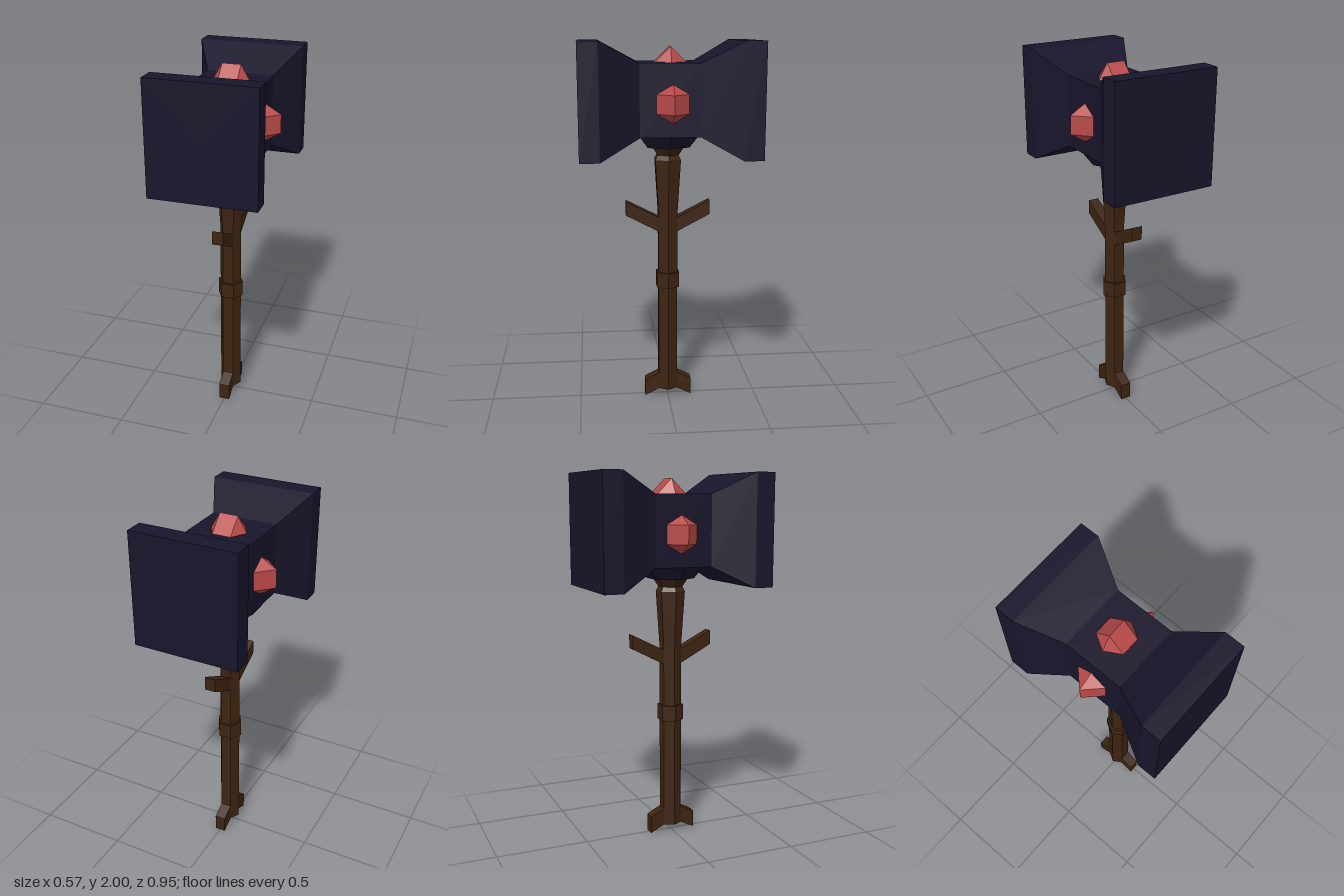
import * as THREE from 'three';

const paint = (color) => new THREE.MeshStandardMaterial({ color, flatShading: true });

// Faceted solid turned around y from [radius, height] pairs, bottom to top
function faceted(profile, sides, start = 0) {
  const points = profile.map(([r, y]) => new THREE.Vector2(r, y));
  return new THREE.LatheGeometry(points, sides, start);
}

// Flat-sided plate cut from a (z, y) outline, with its thickness along x
function plate(outline, thickness) {
  const shape = new THREE.Shape(outline.map(([z, y]) => new THREE.Vector2(z, y)));
  return new THREE.ExtrudeGeometry(shape, { depth: thickness, bevelEnabled: false })
    .translate(0, 0, -thickness / 2)
    .rotateY(-Math.PI / 2);
}

export function createModel() {
  const group = new THREE.Group();
  const iron = paint(0x17152b);
  const wood = paint(0x3d2411);
  const ruby = paint(0xb84a48);

  function add(name, geometry, material) {
    const flat = geometry.index ? geometry.toNonIndexed() : geometry;
    flat.computeVertexNormals();
    const mesh = new THREE.Mesh(flat, material);
    mesh.name = name;
    group.add(mesh);
    return mesh;
  }

  // Hammer head: square section along z, waisted in the middle
  const d = Math.SQRT2;
  const headProfile = [
    [0, -0.475], [d, -0.475], [d, -0.37], [0.63 * d, -0.16],
    [0.63 * d, 0.16], [d, 0.37], [d, 0.475], [0, 0.475],
  ];
  const head = faceted(headProfile, 4, Math.PI / 4)
    .rotateX(Math.PI / 2)
    .scale(0.285, 0.302, 1)
    .translate(0, 1.698, 0);
  add('hammerHead', head, iron);

  // Six-sided collar beneath the head
  const hex = Math.PI / 6;
  add('collar', faceted([[0, 1.44], [0.13, 1.44], [0.185, 1.51], [0, 1.51]], 6, hex), iron);

  // Six-sided handle, flaring towards the head
  const handleProfile = [
    [0, 0.04], [0.06, 0.04], [0.06, 1.07], [0.08, 1.37],
    [0.066, 1.395], [0.098, 1.442], [0, 1.442],
  ];
  add('handle', faceted(handleProfile, 6, hex), wood);
  add('handleBand', faceted([[0, 0.65], [0.071, 0.65], [0.071, 0.737], [0, 0.737]], 6, hex), wood);

  // Gems set into the top and both cheeks of the head
  const gem = faceted([[0, -0.1], [0.085, -0.05], [0.085, 0.05], [0, 0.1]], 4);
  add('topGem', gem.clone().rotateZ(Math.PI / 2), ruby).position.set(0, 1.885, -0.012);
  for (const [name, side] of [['leftGem', 1], ['rightGem', -1]]) {
    add(name, gem.clone(), ruby).position.set(side * 0.18, 1.68, -0.012);
  }

  // Prongs and feet, mirrored front to back
  const prong = [[0.03, 0.96], [0.23, 1.065], [0.23, 1.142], [0.03, 1.04]];
  const foot = [[0.03, 0.05], [0.05, 0.04], [0.13, 0], [0.13, 0.095], [0.05, 0.135], [0.03, 0.145]];
  for (const [end, turn] of [['front', 0], ['back', Math.PI]]) {
    add(end + 'Prong', plate(prong, 0.06), wood).rotation.y = turn;
    add(end + 'Foot', plate(foot, 0.06), wood).rotation.y = turn;
  }
  return group;
}
